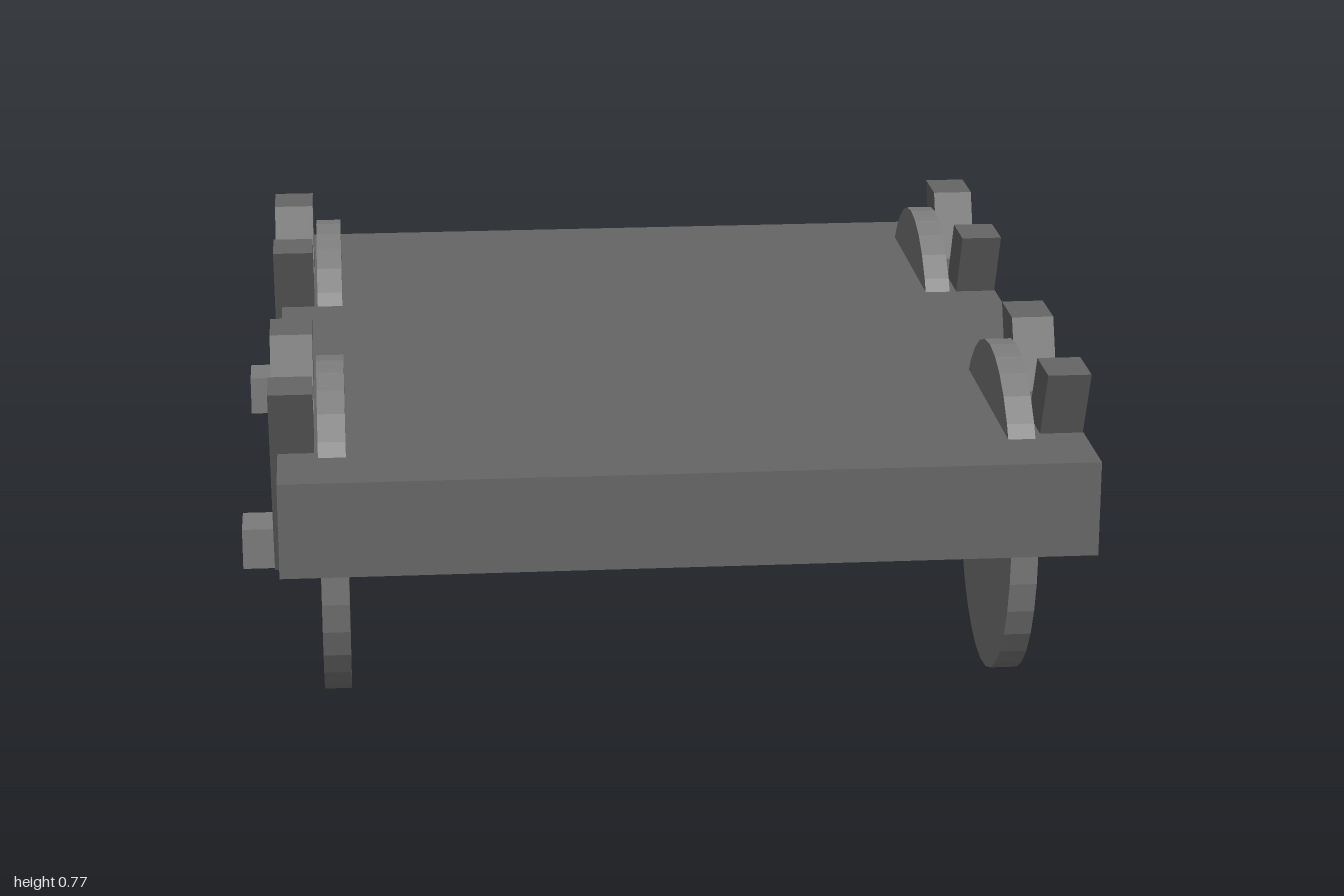
import * as THREE from 'three';

export function createModel() {
  const group = new THREE.Group();
  group.name = 'flatCart';
  const dark = new THREE.MeshStandardMaterial({ color: 0x666666, flatShading: true });
  const light = new THREE.MeshStandardMaterial({ color: 0x7b7b7b, flatShading: true });

  const add = (name, geometry, material, x, y, z) => {
    const mesh = new THREE.Mesh(geometry, material);
    mesh.name = name;
    mesh.position.set(x, y, z);
    group.add(mesh);
  };

  // Flat deck
  add('deck', new THREE.BoxGeometry(1.76, 0.212, 2), dark, 0.013, 0.509, 0);

  // Slightly oval wheel disc, axis along x
  const wheel = new THREE.CylinderGeometry(1, 1, 0.06, 32);
  wheel.rotateZ(Math.PI / 2);
  wheel.scale(1, 0.377, 0.336);

  // V-shaped bracket, centred across its thickness
  const v = new THREE.Shape([
    [-0.07, 0.295], [0.07, 0.295], [0.287, 0.77], [0.157, 0.77],
    [0, 0.43], [-0.157, 0.77], [-0.287, 0.77],
  ].map(([a, b]) => new THREE.Vector2(a, b)));
  const bracket = new THREE.ExtrudeGeometry(v, { depth: 0.095, bevelEnabled: false });
  bracket.translate(0, 0, -0.0475);
  bracket.rotateY(Math.PI / 2);

  // Square axle stub
  const stub = new THREE.BoxGeometry(0.124, 0.092, 0.114);

  const axles = [
    { end: 'front', wheelZ: 0.573, bracketZ: 0.58, stubZ: 0.573 },
    { end: 'rear', wheelZ: -0.587, bracketZ: -0.546, stubZ: -0.549 },
  ];
  const sides = [
    { side: 'Right', s: -1, bracketX: -0.836 },
    { side: 'Left', s: 1, bracketX: 0.844 },
  ];
  for (const { end, wheelZ, bracketZ, stubZ } of axles) {
    for (const { side, s, bracketX } of sides) {
      add(`${end}${side}Wheel`, wheel, light, s * 0.75, 0.377, wheelZ);
      add(`${end}${side}Bracket`, bracket, dark, bracketX, 0, bracketZ);
      add(`${end}${side}AxleStub`, stub, light, s * 0.892, 0.338, stubZ);
    }
  }

  return group;
}
